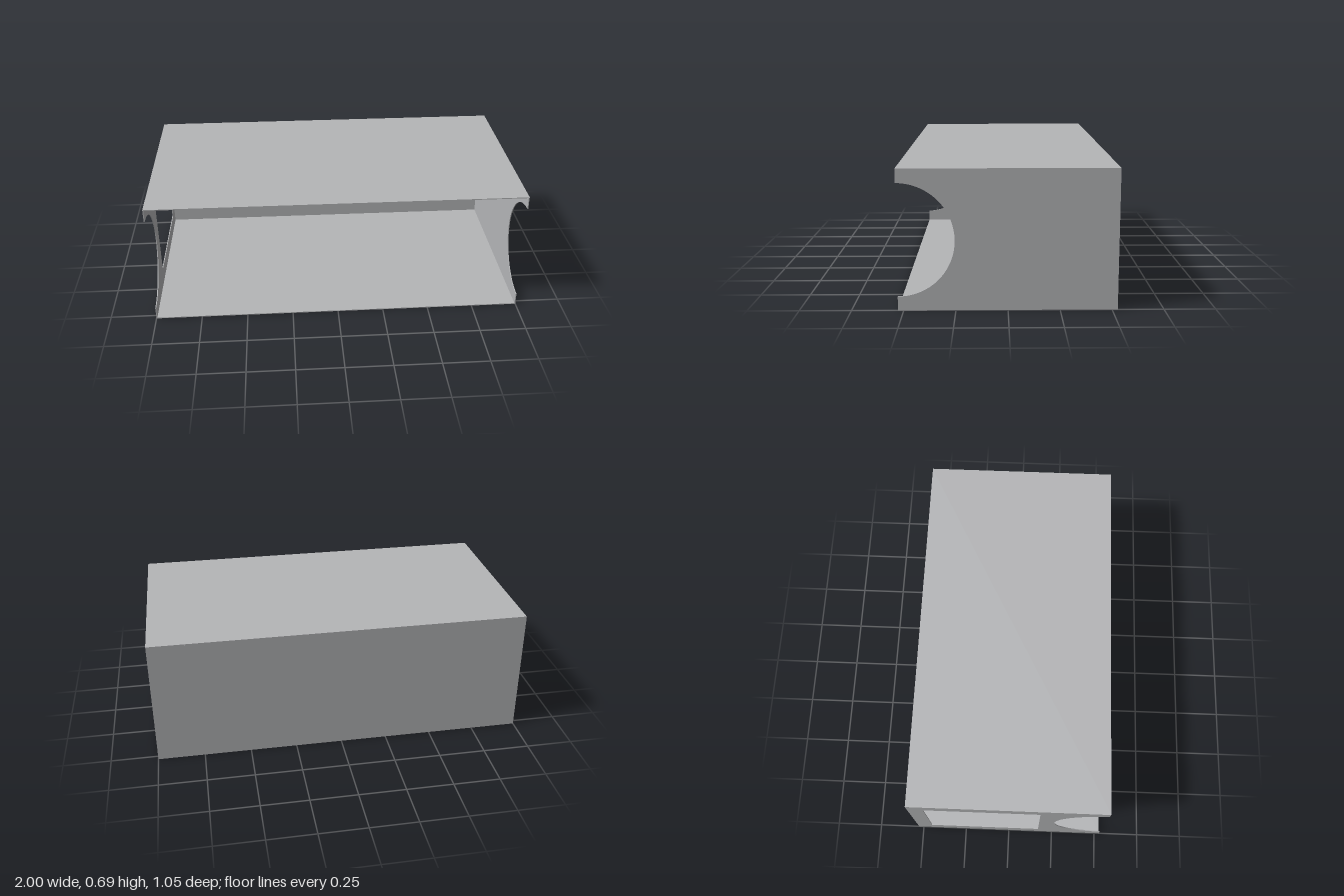
import * as THREE from 'three';

export function createModel() {
  const model = new THREE.Group();
  model.name = 'openBox';
  const grey = new THREE.MeshStandardMaterial({ color: 0xb4b5b7 });
  grey.name = 'grey sheet';

  const W = 2, H = 0.688, D = 1.055, T = 0.005; // outer size and sheet thickness
  const R = 0.275, M = 0.083;                   // notch radius, window margin
  const front = D / 2;

  function add(name, geometry, x, y, z) {
    const mesh = new THREE.Mesh(geometry, grey);
    mesh.name = name;
    mesh.position.set(x, y, z);
    model.add(mesh);
    return mesh;
  }

  // Floor, roof and back sheets fit between the two end walls
  const inner = W - 2 * T;
  add('floor', new THREE.BoxGeometry(inner, T, D), 0, T / 2, 0);
  add('roof', new THREE.BoxGeometry(inner, T, D), 0, H - T / 2, 0);
  add('backWall', new THREE.BoxGeometry(inner, H - 2 * T, T), 0, H / 2, -front + T / 2);

  // End wall outline with a semicircular notch in the front edge; shape x runs along -z
  function endShape() {
    const s = new THREE.Shape();
    s.moveTo(-front, 0);
    s.lineTo(front, 0);
    s.lineTo(front, H);
    s.lineTo(-front, H);
    s.lineTo(-front, H / 2 + R);
    s.absarc(-front, H / 2, R, Math.PI / 2, -Math.PI / 2, true);
    s.closePath();
    return s;
  }

  function addEnd(name, shape, x) {
    const geometry = new THREE.ExtrudeGeometry(shape, { depth: T, bevelEnabled: false, curveSegments: 48 });
    geometry.rotateY(Math.PI / 2);
    add(name, geometry, x, 0, 0);
  }

  // Solid left end
  addEnd('leftEnd', endShape(), W / 2 - T);

  // Right end with a rectangular window
  const windowed = endShape();
  const z0 = -front + R + M, z1 = front - M;
  const hole = new THREE.Path();
  hole.moveTo(z0, M);
  hole.lineTo(z0, H - M);
  hole.lineTo(z1, H - M);
  hole.lineTo(z1, M);
  hole.closePath();
  windowed.holes.push(hole);
  addEnd('rightEnd', windowed, -W / 2);

  return model;
}
